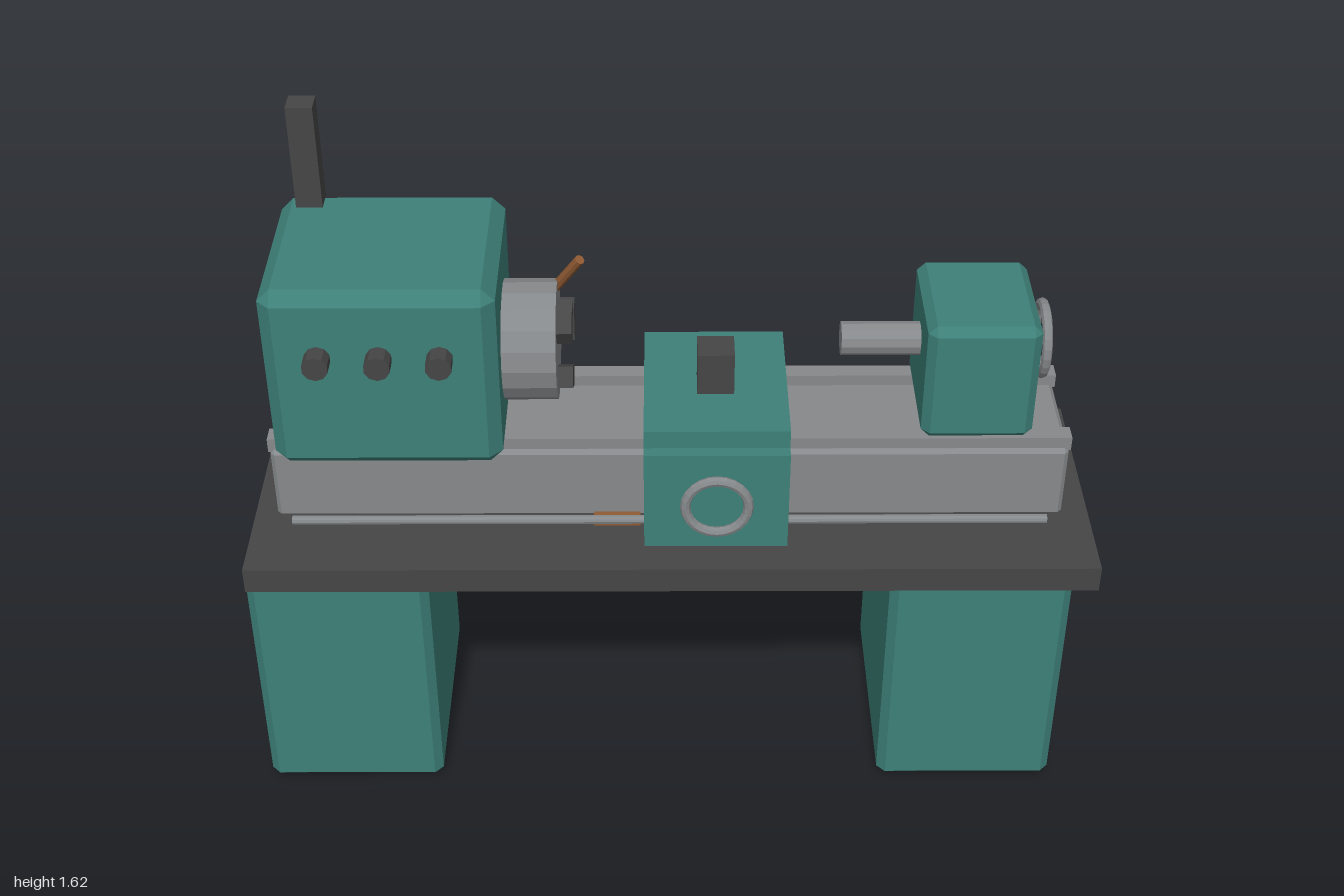
import * as THREE from 'three';
import { ConvexGeometry } from 'three/addons/geometries/ConvexGeometry.js';

function material(name, color) {
  const m = new THREE.MeshStandardMaterial({ color, flatShading: true });
  m.name = name;
  return m;
}

export function createModel() {
  const teal = material('teal paint', 0x3d8078);
  const dark = material('dark iron', 0x464646);
  const steel = material('steel', 0x86898b);
  const copper = material('copper brown', 0x8f5a33);

  const group = new THREE.Group();
  group.name = 'lathe';

  function add(name, geometry, mat, x = 0, y = 0, z = 0) {
    const mesh = new THREE.Mesh(geometry, mat);
    mesh.name = name;
    mesh.position.set(x, y, z);
    group.add(mesh);
    return mesh;
  }

  // Box given by its limits along each axis
  function box(name, mat, [x0, x1], [y0, y1], [z0, z1]) {
    return add(name, new THREE.BoxGeometry(x1 - x0, y1 - y0, z1 - z0), mat,
      (x0 + x1) / 2, (y0 + y1) / 2, (z0 + z1) / 2);
  }

  // Box with all edges chamfered by c
  function chamferBox(name, mat, [x0, x1], [y0, y1], [z0, z1], c) {
    const h = [(x1 - x0) / 2, (y1 - y0) / 2, (z1 - z0) / 2];
    const points = [];
    for (const sx of [-1, 1]) for (const sy of [-1, 1]) for (const sz of [-1, 1]) {
      for (let axis = 0; axis < 3; axis++) {
        const p = h.map((v, i) => (i === axis ? v : v - c));
        points.push(new THREE.Vector3(sx * p[0], sy * p[1], sz * p[2]));
      }
    }
    return add(name, new ConvexGeometry(points), mat,
      (x0 + x1) / 2, (y0 + y1) / 2, (z0 + z1) / 2);
  }

  // Round bar between two points
  function bar(name, mat, from, to, radius, sides) {
    const a = new THREE.Vector3(...from), b = new THREE.Vector3(...to);
    const dir = b.clone().sub(a);
    const mesh = add(name, new THREE.CylinderGeometry(radius, radius, dir.length(), sides), mat);
    mesh.position.copy(a).add(b).multiplyScalar(0.5);
    mesh.quaternion.setFromUnitVectors(new THREE.Vector3(0, 1, 0), dir.normalize());
    return mesh;
  }

  const axisY = 1.105, axisZ = -0.043;

  // Pedestals and chip tray
  chamferBox('leftPedestal', teal, [0.52, 0.95], [0, 0.64], [-0.285, 0.285], 0.02);
  chamferBox('rightPedestal', teal, [-1, -0.57], [0, 0.64], [-0.285, 0.285], 0.02);
  box('tray', dark, [-0.99, 1], [0.64, 0.705], [-0.324, 0.321]);

  // Bed with two guide rails
  chamferBox('bed', steel, [-0.935, 0.935], [0.705, 0.897], [-0.205, 0.12], 0.01);
  for (const s of [-1, 1]) {
    const z = axisZ + s * 0.13;
    box('guideRail', steel, [-0.94, 0.94], [0.89, 0.925], [z - 0.022, z + 0.022]);
  }
  bar('leadScrew', steel, [-0.89, 0.735, 0.17], [0.89, 0.735, 0.17], 0.011, 10);
  box('trayBlock', copper, [-0.18, -0.07], [0.705, 0.72], [0.12, 0.155]);

  // Headstock with post and control knobs
  chamferBox('headstock', teal, [-0.91, -0.385], [0.902, 1.368], [-0.275, 0.19], 0.03);
  box('post', dark, [-0.868, -0.806], [1.3, 1.625], [-0.26, -0.2]);
  for (const x of [-0.785, -0.648, -0.512]) {
    bar('controlKnob', dark, [x, 1.207, 0.18], [x, 1.207, 0.236], 0.03, 10);
  }

  // Chuck, three jaws and key
  bar('chuck', steel, [-0.4, axisY, axisZ], [-0.26, axisY, axisZ], 0.142, 18);
  for (let i = 0; i < 3; i++) {
    const a = Math.PI / 3 + i * Math.PI * 2 / 3;
    const jaw = add('chuckJaw', new THREE.BoxGeometry(0.045, 0.09, 0.05), dark,
      -0.247, axisY + Math.sin(a) * 0.087, axisZ + Math.cos(a) * 0.087);
    jaw.rotation.x = -a;
  }
  bar('chuckKey', copper, [-0.205, 1.315, -0.052], [-0.388, 1.005, -0.197], 0.012, 8);

  // Carriage with apron, tool post and handwheel
  box('saddle', teal, [-0.06, 0.275], [0.905, 1.018], [-0.205, 0.21]);
  box('apron', teal, [-0.06, 0.275], [0.71, 0.972], [0.18, 0.24]);
  box('toolPost', dark, [0.064, 0.15], [1.01, 1.125], [-0.022, 0.06]);
  add('apronHandwheel', new THREE.TorusGeometry(0.073, 0.012, 8, 24), steel, 0.108, 0.843, 0.262);

  // Tailstock with quill and handwheel
  chamferBox('tailstock', teal, [0.585, 0.845], [0.925, 1.228], [-0.2, 0.117], 0.02);
  bar('quill', steel, [0.4, axisY, axisZ], [0.6, axisY, axisZ], 0.04, 12);
  const wheel = add('tailstockHandwheel', new THREE.TorusGeometry(0.083, 0.012, 8, 24), steel,
    0.871, axisY, axisZ);
  wheel.rotation.y = Math.PI / 2;

  return group;
}
